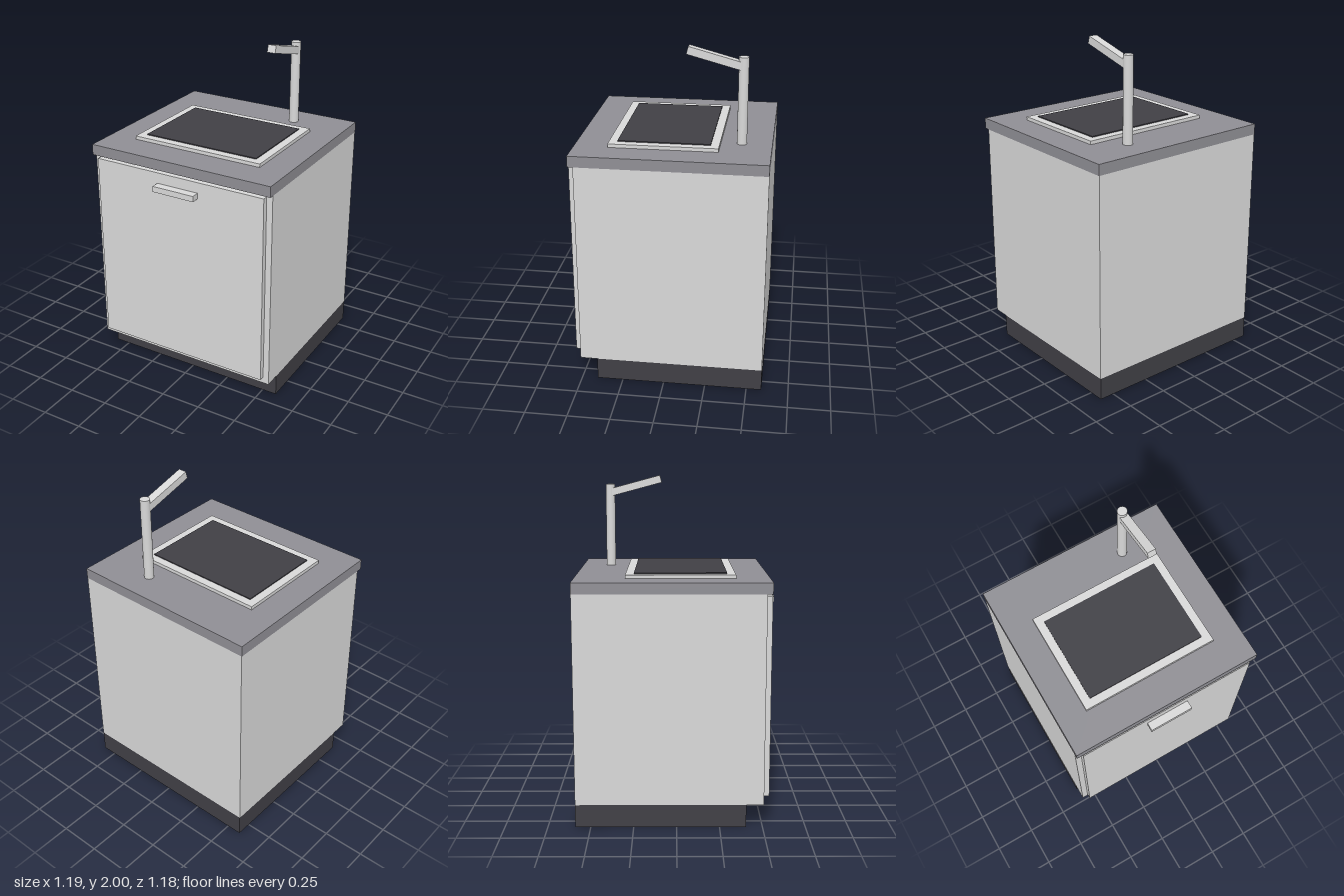
import * as THREE from 'three';

const mat = (name, color) => {
  const m = new THREE.MeshStandardMaterial({ color });
  m.name = name;
  return m;
};

export function createModel() {
  const model = new THREE.Group();
  model.name = 'sinkCabinet';

  const lightMetal = mat('lightGrey', 0xd8d8d8);
  const stone = mat('stoneGrey', 0x8f8e94);
  const dark = mat('darkGrey', 0x403f45);

  const add = (name, geometry, material, x, y, z) => {
    const mesh = new THREE.Mesh(geometry, material);
    mesh.name = name;
    mesh.position.set(x, y, z);
    model.add(mesh);
    return mesh;
  };

  // Box centred on x, given its half width and its y and z ranges
  const box = (name, material, halfX, y0, y1, z0, z1) =>
    add(name, new THREE.BoxGeometry(halfX * 2, y1 - y0, z1 - z0), material,
      0, (y0 + y1) / 2, (z0 + z1) / 2);

  // Cabinet
  box('plinth', dark, 0.59, 0, 0.135, -0.59, 0.405);
  box('cabinetBody', lightMetal, 0.592, 0.135, 1.37, -0.59, 0.507);
  box('door', lightMetal, 0.555, 0.175, 1.355, 0.507, 0.54);
  box('handle', lightMetal, 0.135, 1.255, 1.29, 0.54, 0.59);
  box('countertop', stone, 0.594, 1.37, 1.435, -0.59, 0.538);

  // Sink
  box('sinkRim', lightMetal, 0.42, 1.435, 1.456, -0.294, 0.341);
  box('basin', dark, 0.37, 1.456, 1.462, -0.245, 0.292);

  // Tap: round post with a spout rising towards the front
  add('tapPost', new THREE.CylinderGeometry(0.029, 0.029, 0.51, 24), lightMetal, 0.25, 1.69, -0.414);
  const spout = add('tapSpout', new THREE.BoxGeometry(0.052, 0.046, 0.32), lightMetal, 0.25, 1.936, -0.251);
  spout.rotation.x = -Math.PI / 12;

  return model;
}
